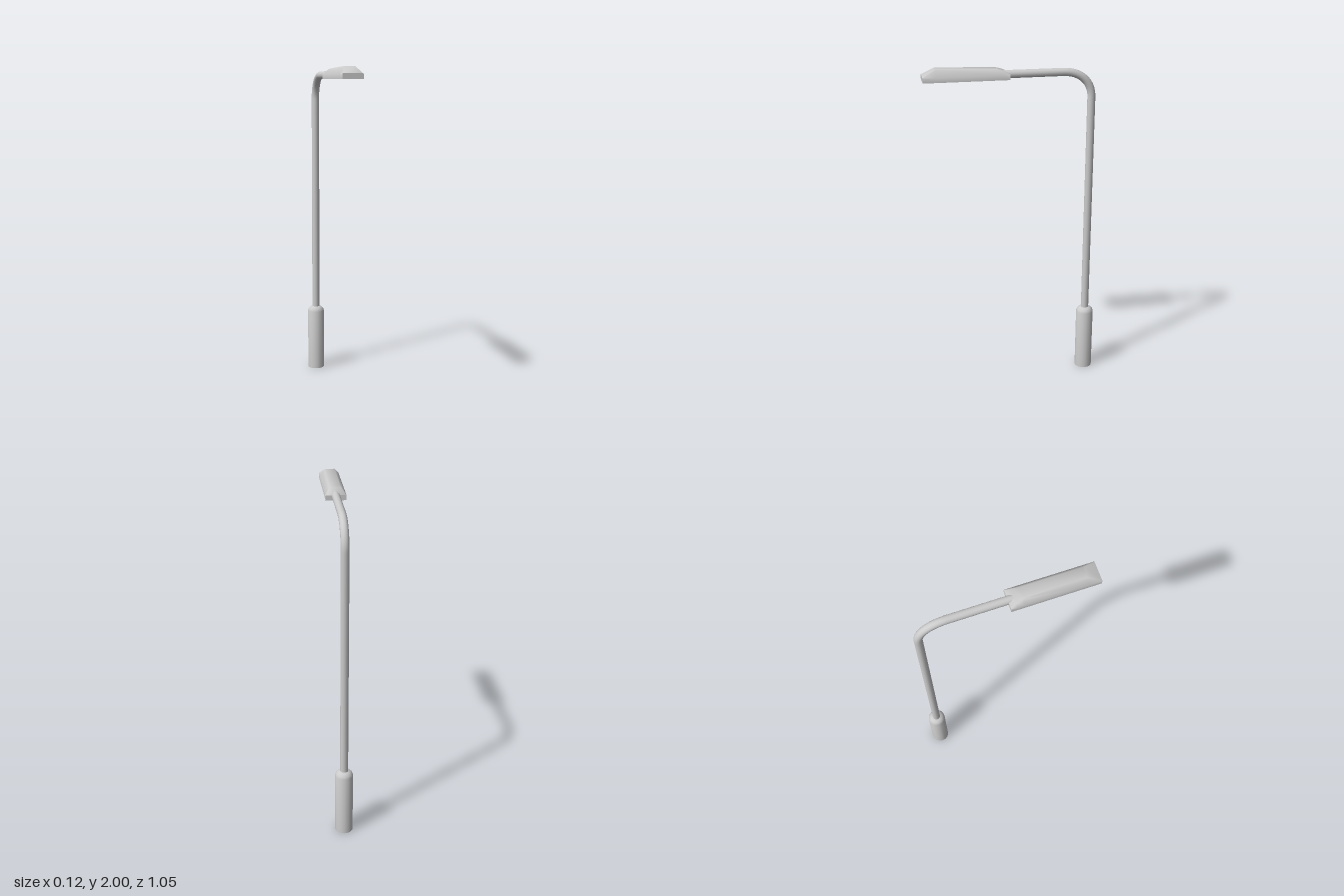
import * as THREE from 'three';
import { toCreasedNormals } from 'three/addons/utils/BufferGeometryUtils.js';

const POLE_Z = -0.47, POLE_R = 0.024, ARM_Y = 1.952, HEAD_BOTTOM = 1.93;

// Lamp housing lofted from six-point cross-sections along z
function housingGeometry() {
  const half = 0.06, shoulder = 1.957;
  // z, half width of the top, height of the top
  const sections = [
    [0.025, 0.056, 1.96], [0.06, 0.044, 1.977], [0.1, 0.034, 1.989],
    [0.45, 0.03, 2.0], [0.525, 0.056, 1.96],
  ];
  const pos = [], index = [], n = 6;
  for (const [z, t, y] of sections) {
    const right = [[half, HEAD_BOTTOM], [half, shoulder], [t, y]];
    for (const [x, h] of right) pos.push(-x, h, z);
    for (const [x, h] of right.reverse()) pos.push(x, h, z);
  }
  const last = (sections.length - 1) * n;
  for (let i = 0; i < last; i += n) {
    for (let j = 0; j < n - 1; j++) {
      const a = i + j, c = a + n;
      index.push(a, c, a + 1, a + 1, c, c + 1);
    }
  }
  // End faces
  for (let j = 1; j < n - 1; j++) {
    index.push(0, j, j + 1, last, last + j + 1, last + j);
  }
  const g = new THREE.BufferGeometry();
  g.setAttribute('position', new THREE.Float32BufferAttribute(pos, 3));
  g.setIndex(index);
  return toCreasedNormals(g, 0.98);
}

function rectangle(Type, x, z0, z1) {
  return new Type([[-x, z0], [x, z0], [x, z1], [-x, z1]].map(p => new THREE.Vector2(...p)));
}

export function createModel() {
  const group = new THREE.Group();
  const grey = new THREE.MeshStandardMaterial({ color: 0xcccccc });
  const openGrey = new THREE.MeshStandardMaterial({ color: 0xcccccc, side: THREE.DoubleSide });
  const add = (name, geometry, material = grey) => {
    const mesh = new THREE.Mesh(geometry, material);
    mesh.name = name;
    group.add(mesh);
    return mesh;
  };

  // Wide base sleeve, open at the ground, with a rounded shoulder
  const profile = [[0.054, 0], [0.054, 0.39], [0.049, 0.405], [0.038, 0.417], [0.022, 0.423]];
  const sleeve = new THREE.LatheGeometry(profile.map(p => new THREE.Vector2(...p)), 16);
  add('base', toCreasedNormals(sleeve, 0.8), openGrey).position.z = POLE_Z;

  // Pole, bend and arm as one continuous tube
  const v = (y, z) => new THREE.Vector3(0, y, z);
  const path = new THREE.CurvePath();
  path.add(new THREE.LineCurve3(v(0.4, POLE_Z), v(1.8, POLE_Z)));
  path.add(new THREE.CubicBezierCurve3(
    v(1.8, POLE_Z), v(1.89, POLE_Z), v(ARM_Y, -0.4), v(ARM_Y, -0.3)));
  path.add(new THREE.LineCurve3(v(ARM_Y, -0.3), v(ARM_Y, 0.08)));
  add('pole', new THREE.TubeGeometry(path, 90, POLE_R, 14, false));
  add('armEnd', new THREE.CircleGeometry(POLE_R, 14)).position.set(0, ARM_Y, 0.08);

  // Lamp housing
  add('lampHousing', housingGeometry(), openGrey);

  // Rim around the recess in the underside
  const rimShape = rectangle(THREE.Shape, 0.059, 0.026, 0.524);
  rimShape.holes.push(rectangle(THREE.Path, 0.046, 0.075, 0.5));
  const rim = new THREE.ExtrudeGeometry(rimShape, { depth: 0.022, bevelEnabled: false });
  rim.rotateX(Math.PI / 2);
  add('lampRim', rim).position.y = HEAD_BOTTOM + 0.022;

  // Recessed panel and long light bar
  add('lampPanel', new THREE.BoxGeometry(0.1, 0.004, 0.44)).position.set(0, 1.953, 0.288);
  add('lightBar', new THREE.BoxGeometry(0.03, 0.015, 0.425)).position.set(0, 1.944, 0.2875);

  return group;
}
